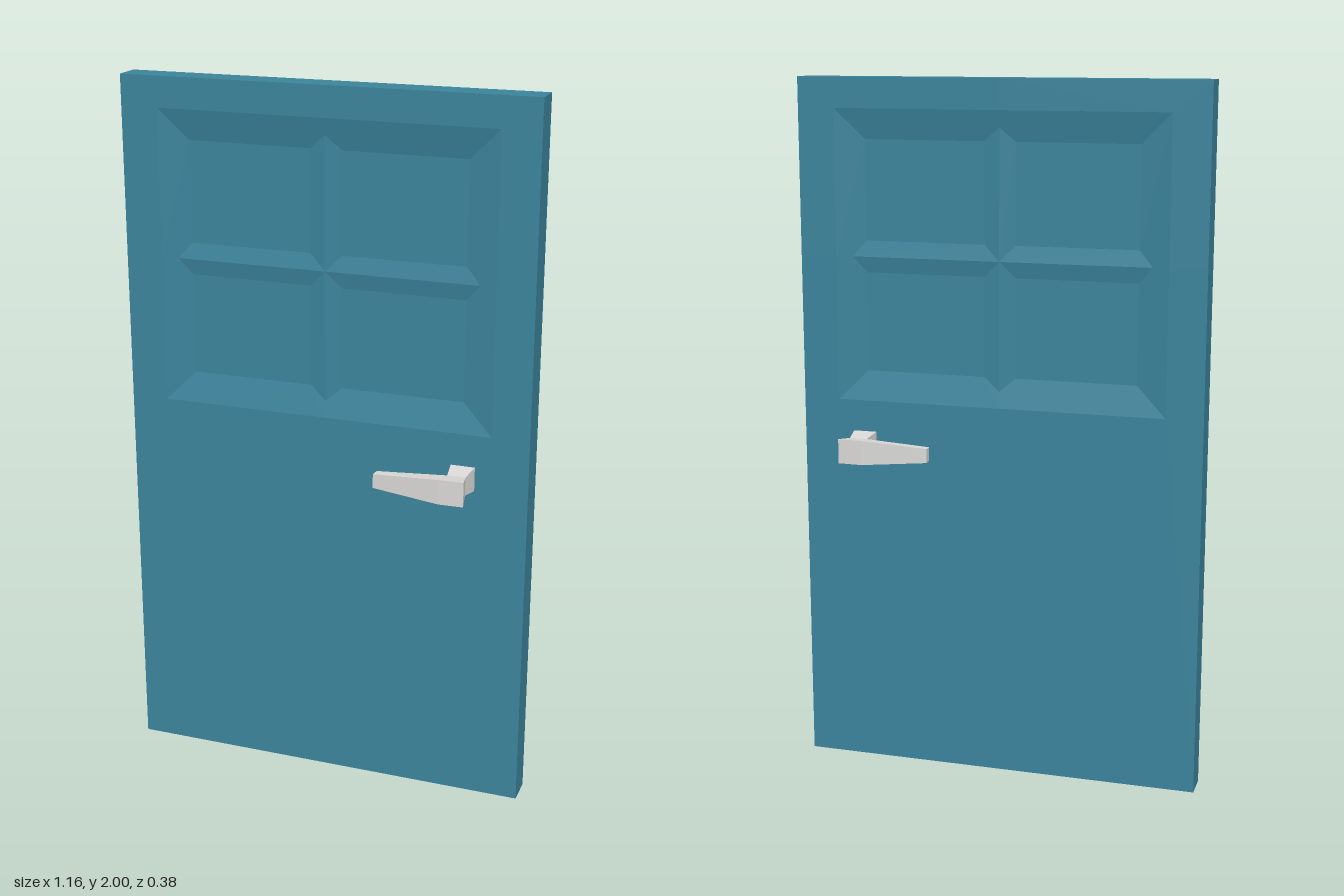
import * as THREE from 'three';

const doorPaint = new THREE.MeshStandardMaterial({ color: 0x3b839b, flatShading: true });
doorPaint.name = 'teal paint';
const metal = new THREE.MeshStandardMaterial({ color: 0xd8d7d6, flatShading: true });
metal.name = 'pale metal';

// Flat-faced mesh from convex polygons, each a counter-clockwise list of [x, y, z]
function facetedMesh(name, material, polygons) {
  const positions = [];
  for (const p of polygons) {
    for (let i = 1; i < p.length - 1; i++) positions.push(...p[0], ...p[i], ...p[i + 1]);
  }
  const geometry = new THREE.BufferGeometry();
  geometry.setAttribute('position', new THREE.Float32BufferAttribute(positions, 3));
  geometry.computeVertexNormals();
  const mesh = new THREE.Mesh(geometry, material);
  mesh.name = name;
  return mesh;
}

const HALF = 0.041;      // half thickness of the door
const W = 0.5825;        // half width of the door
const PANEL_Y = 1.5025;  // height of the panel centre

// One quarter of one door face: frame, edges, bevels, ridges and pane floor
function doorQuarter(sx, sy, sz) {
  const X = 0.477, Y = 0.4125;                        // half size of the recess
  const T = sy > 0 ? 2 - PANEL_Y : PANEL_Y;           // distance to the door's end
  const floor = 0.0185, crest = 0.01;                 // depths below the face
  const bevel = 0.085, ridge = 0.045;                 // slope widths
  const a = bevel * crest / floor;                    // where a crest meets the bevel
  const O = [0, 0, crest], H = [X - a, 0, crest], V = [0, Y - a, crest];
  const f1 = [ridge, ridge, floor], f2 = [X - bevel, ridge, floor];
  const f3 = [X - bevel, Y - bevel, floor], f4 = [ridge, Y - bevel, floor];
  const polygons = [
    [[X, 0, 0], [W, 0, 0], [W, T, 0], [X, Y, 0]],             // side frame
    [[X, Y, 0], [W, T, 0], [0, T, 0], [0, Y, 0]],             // end frame
    [[W, 0, 0], [W, 0, HALF], [W, T, HALF], [W, T, 0]],       // side edge
    [[W, T, 0], [W, T, HALF], [0, T, HALF], [0, T, 0]],       // end edge
    [f1, f2, f3, f4],                                         // pane floor
    [O, H, f2, f1],                                           // horizontal ridge
    [O, f1, f4, V],                                           // vertical ridge
    [f2, H, [X, 0, 0], [X, Y, 0], f3],                        // side bevel
    [f4, f3, [X, Y, 0], [0, Y, 0], V],                        // end bevel
  ];
  return polygons.map(p => {
    const q = p.map(([x, y, depth]) => [sx * x, PANEL_Y + sy * y, sz * (HALF - depth)]);
    return sx * sy * sz < 0 ? q.reverse() : q;
  });
}

// Lever handle lofted through sections, each [inner, outer] as [x, z, half height]
function handlePolygons(sz) {
  const y = 0.965;
  const elbow = [0.373, 0.101, 0.026];
  const sections = [
    [[0.365, 0.036, 0.035], [0.434, 0.036, 0.035]],
    [elbow, [0.424, 0.1, 0.026]],
    [elbow, [0.436, 0.161, 0.035]],
    [elbow, [0.367, 0.163, 0.035]],
    [[0.18, 0.117, 0.019], [0.178, 0.1455, 0.02]],
  ];
  const rings = sections.map(([i, o]) => [
    [i[0], y - i[2], sz * i[1]], [o[0], y - o[2], sz * o[1]],
    [o[0], y + o[2], sz * o[1]], [i[0], y + i[2], sz * i[1]],
  ]);
  const polygons = [rings[rings.length - 1].slice()];   // tip
  for (let s = 0; s < rings.length - 1; s++) {
    const a = rings[s], b = rings[s + 1];
    for (let i = 0; i < 4; i++) {
      const j = (i + 1) % 4;
      if (i === 3 && sections[s][0] === sections[s + 1][0]) continue;  // elbow pivot
      // Start at the outer corner so triangles at the pivot stay well formed
      polygons.push(i === 0 ? [a[j], b[j], b[i], a[i]] : [a[i], a[j], b[j], b[i]]);
    }
  }
  return sz < 0 ? polygons.map(p => p.reverse()) : polygons;
}

export function createModel() {
  const model = new THREE.Group();
  model.name = 'door';

  // Panelled slab, the same on both faces
  const slab = [];
  for (const sx of [1, -1]) for (const sy of [1, -1]) for (const sz of [1, -1]) {
    slab.push(...doorQuarter(sx, sy, sz));
  }

  // Door leaf stands slightly ajar
  const leaf = new THREE.Group();
  leaf.name = 'doorLeaf';
  leaf.add(
    facetedMesh('doorSlab', doorPaint, slab),
    facetedMesh('frontHandle', metal, handlePolygons(1)),
    facetedMesh('backHandle', metal, handlePolygons(-1)),
  );
  leaf.rotation.y = THREE.MathUtils.degToRad(10);
  leaf.position.z = 0.0465;
  model.add(leaf);
  return model;
}
